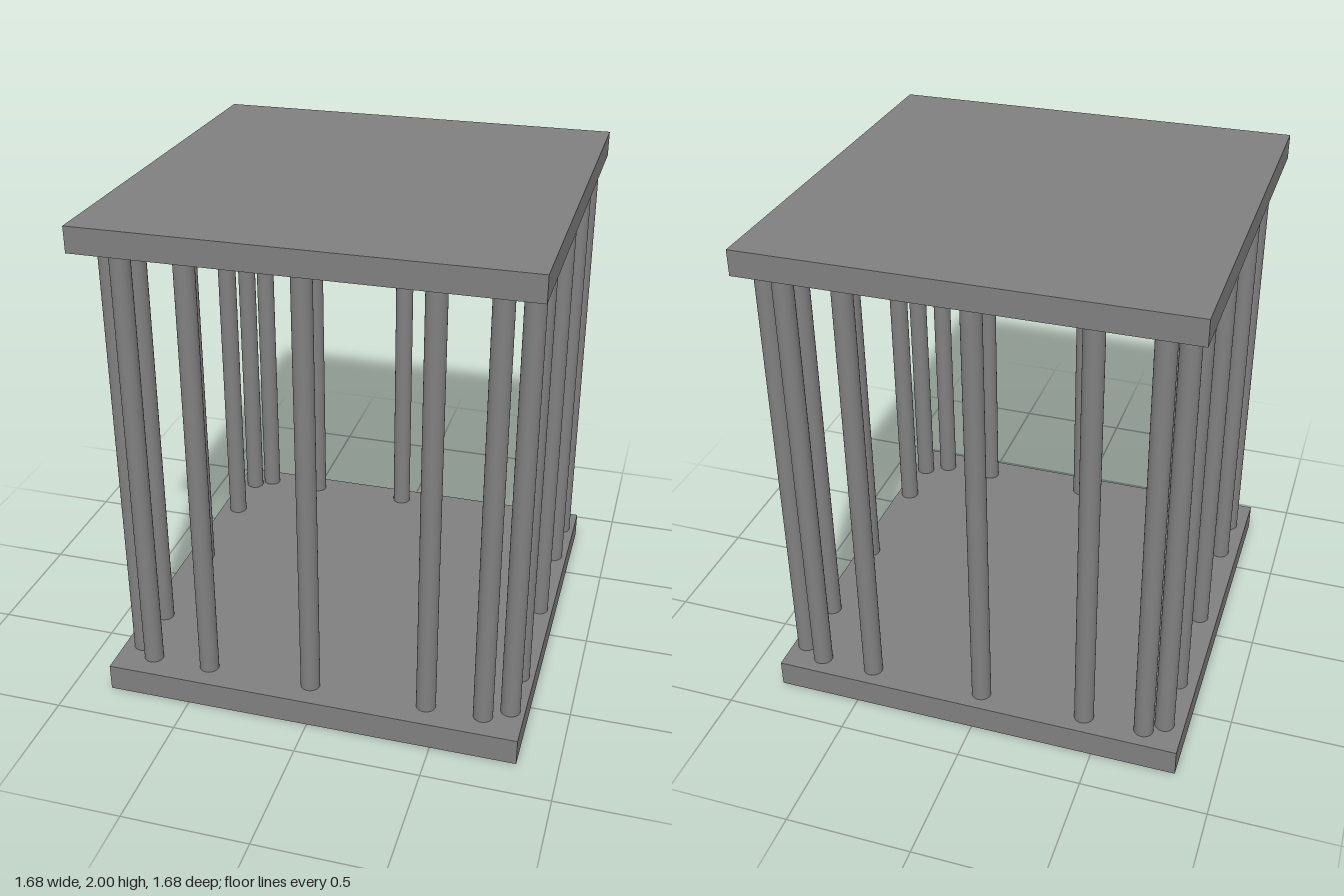
import * as THREE from 'three';

export function createModel() {
  const group = new THREE.Group();
  group.name = 'cage';
  const steel = new THREE.MeshStandardMaterial({ color: 0x808080 });
  steel.name = 'grey steel';

  // Square floor and roof slabs
  const addSlab = (name, bottom, top) => {
    const slab = new THREE.Mesh(new THREE.BoxGeometry(1.68, top - bottom, 1.68), steel);
    slab.position.y = (bottom + top) / 2;
    slab.name = name;
    group.add(slab);
  };
  addSlab('floorSlab', 0, 0.11);
  addSlab('roofSlab', 1.9, 2);

  // Round bars, five along each side, closer together near the corners
  const barGeometry = new THREE.CylinderGeometry(0.039, 0.039, 1.79, 32);
  const addBar = (name, x, z) => {
    const bar = new THREE.Mesh(barGeometry, steel);
    bar.position.set(x, 1.005, z);
    bar.name = name;
    group.add(bar);
  };
  for (const x of [-0.69, -0.447, -0.016, 0.458, 0.685]) {
    addBar('frontBar', x, 0.73);
    addBar('backBar', x, -0.755);
  }
  for (const z of [0.67, 0.45, -0.027, -0.455, -0.702]) {
    addBar('leftBar', 0.782, z);
    addBar('rightBar', -0.762, z);
  }
  return group;
}
